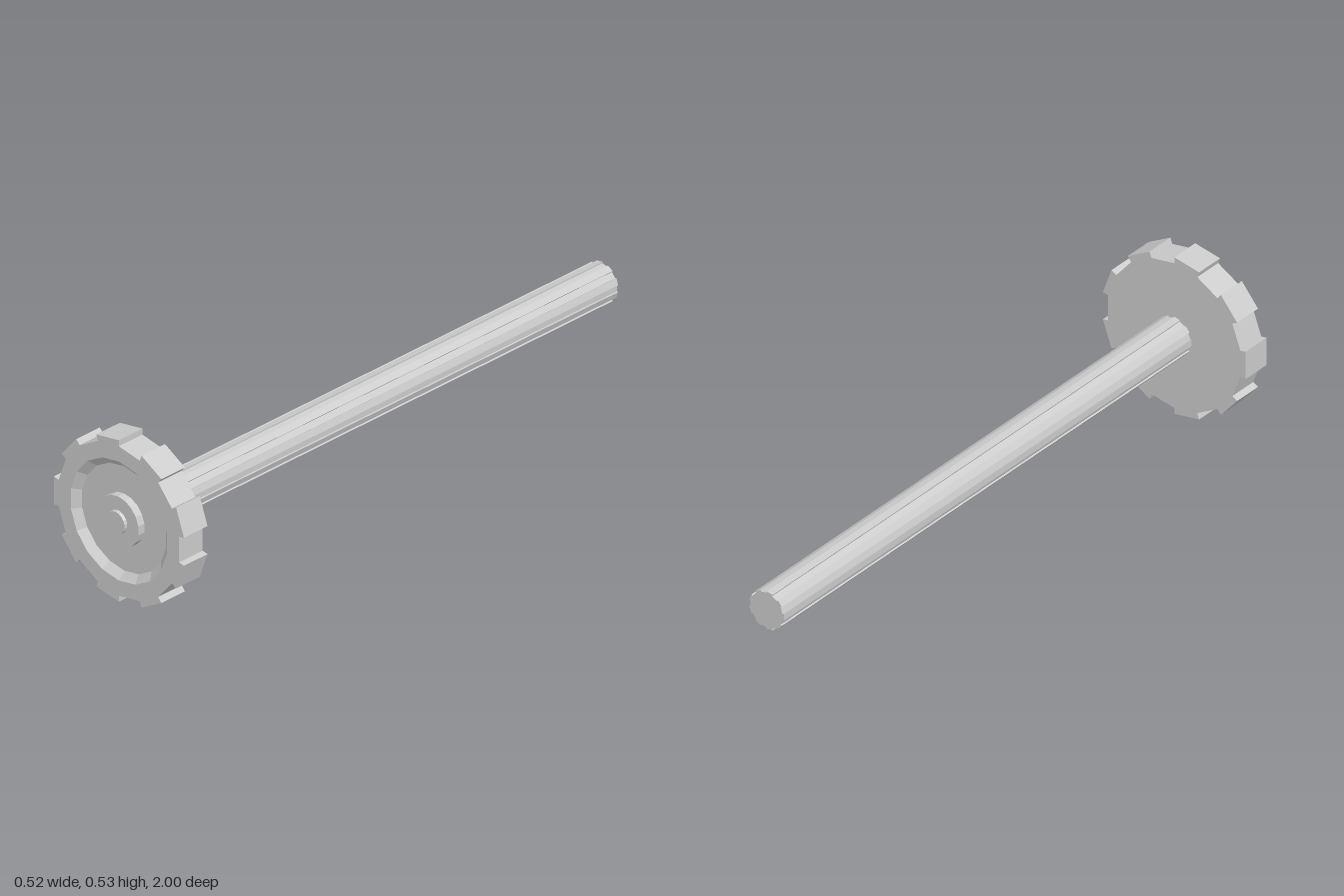
import * as THREE from 'three';

const SIDES = 18;
const CENTRE_Y = 0.265;
const material = new THREE.MeshStandardMaterial({ color: 0xcccccc, flatShading: true, side: THREE.DoubleSide });

// Outline with nine teeth: every second 20 degree segment is raised
function toothedShape(outer, inner) {
  const points = [];
  for (let i = 0; i < SIDES; i++) {
    const r = i % 2 ? inner : outer;
    for (const step of [i, i + 1]) {
      const a = Math.PI / 2 + (step * Math.PI * 2) / SIDES;
      points.push(new THREE.Vector2(r * Math.cos(a), r * Math.sin(a)));
    }
  }
  return new THREE.Shape(points);
}

function ringHole(radius) {
  const points = [];
  for (let i = 0; i < SIDES; i++) {
    const a = Math.PI / 2 - (i * Math.PI * 2) / SIDES;
    points.push(new THREE.Vector2(radius * Math.cos(a), radius * Math.sin(a)));
  }
  return new THREE.Path(points);
}

export function createModel() {
  const group = new THREE.Group();

  function add(name, geometry) {
    const mesh = new THREE.Mesh(geometry, material);
    mesh.name = name;
    mesh.position.y = CENTRE_Y;
    group.add(mesh);
  }

  function extrude(name, shape, back, front) {
    const geometry = new THREE.ExtrudeGeometry(shape, { depth: front - back, bevelEnabled: false });
    add(name, geometry.translate(0, 0, back));
  }

  // Profile of [radius, z] pairs turned around the z axis
  function turned(name, profile) {
    const points = profile.map(([r, z]) => new THREE.Vector2(r, z));
    add(name, new THREE.LatheGeometry(points, SIDES).rotateX(Math.PI / 2));
  }

  // Long splined shaft
  extrude('shaft', toothedShape(0.064, 0.059), -1, 0.9);

  // Toothed wheel: solid disc with a raised rim on its front
  extrude('wheelDisc', toothedShape(0.265, 0.245), 0.89, 0.965);
  const rim = toothedShape(0.265, 0.245);
  rim.holes.push(ringHole(0.195));
  extrude('wheelRim', rim, 0.965, 0.987);

  // Sloped wall of the front recess
  turned('recessWall', [[0.195, 0.987], [0.171, 0.965]]);

  // Round boss and centre pin
  turned('boss', [[0.082, 0.965], [0.082, 0.99], [0, 0.99]]);
  turned('centrePin', [[0.037, 0.99], [0.035, 1], [0, 1]]);

  return group;
}
